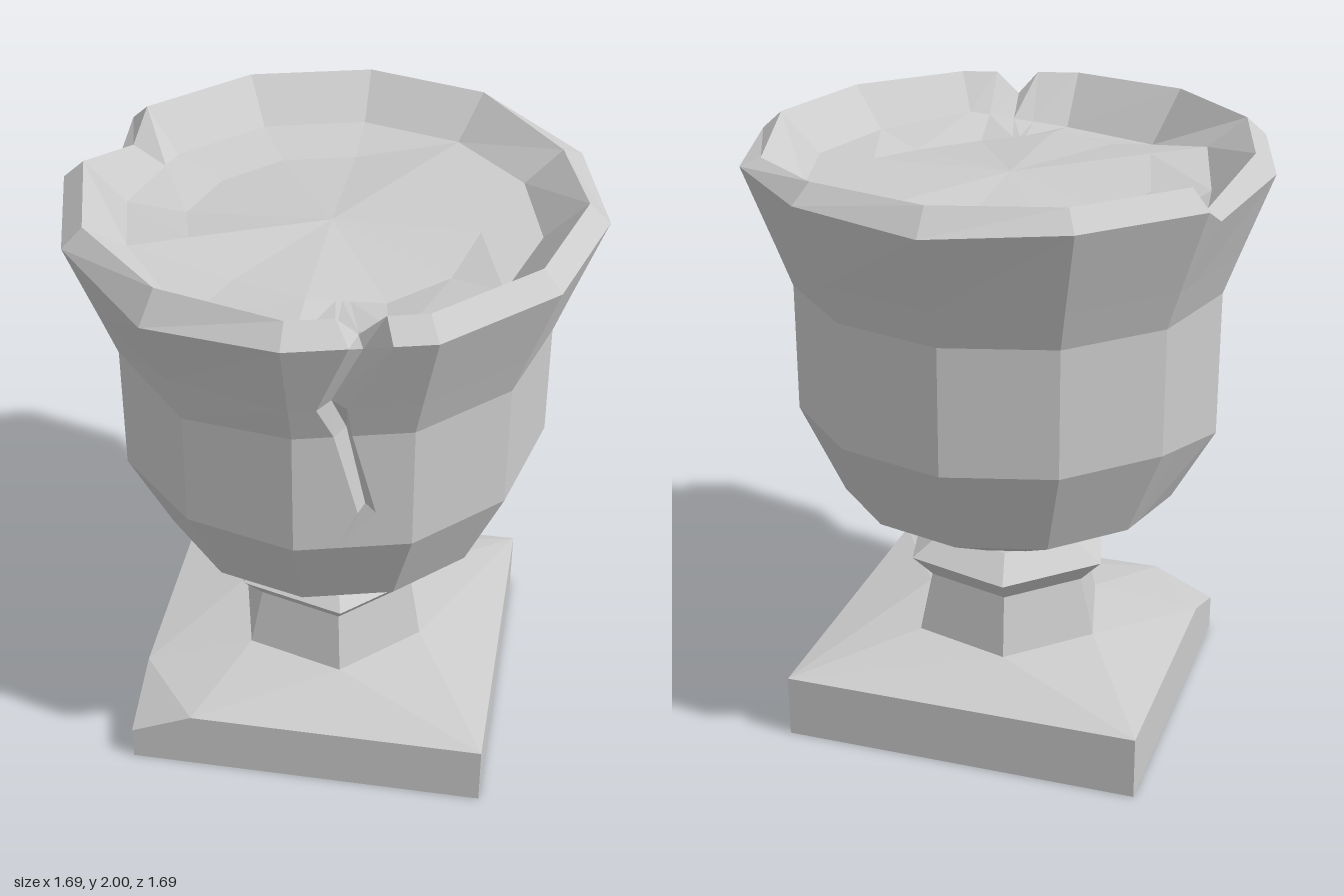
import * as THREE from 'three';

const stone = new THREE.MeshStandardMaterial({ color: 0xcccccc, flatShading: true });

// Mesh from a list of flat polygons, each an array of Vector3 corners.
function polyMesh(name, polys) {
  const pos = [];
  for (const p of polys)
    for (let i = 1; i < p.length - 1; i++)
      for (const v of [p[0], p[i], p[i + 1]]) pos.push(v.x, v.y, v.z);
  const g = new THREE.BufferGeometry();
  g.setAttribute('position', new THREE.Float32BufferAttribute(pos, 3));
  g.computeVertexNormals();
  const m = new THREE.Mesh(g, stone);
  m.name = name;
  return m;
}

const V = (x, y, z) => new THREE.Vector3(x, y, z);
// Point on a circle, angle measured from the front (+z) towards +x.
const polar = (r, y, deg) => {
  const a = THREE.MathUtils.degToRad(deg);
  return V(r * Math.sin(a), y, r * Math.cos(a));
};

// Square plinth with sloped top and one broken corner.
function plinth() {
  const hex = [0, 1, 2, 3, 4, 5].map(k => polar(0.34, 0.29, 14 + 60 * k));
  const h = 0.215, w = 0.6, f = 0.57, r = -0.565;
  const a = V(w, 0, f), b = V(w, 0, r), c = V(-w, 0, r), d = V(-w, 0, f);
  const A = V(w, h, f), B = V(w, h, r), C = V(-w, h, r);
  const D = V(-w, h, 0.31), E = V(-0.39, h, f), K = V(-w, 0.12, f);
  return polyMesh('plinth', [
    [d, c, b, a], [a, b, B, A], [b, c, C, B], [c, d, K, D, C], [d, a, A, E, K],
    [K, E, D],
    [E, A, hex[0]], [A, hex[1], hex[0]], [A, B, hex[1]], [B, hex[2], hex[1]],
    [B, hex[3], hex[2]], [B, C, hex[3]], [C, hex[4], hex[3]], [C, D, hex[4]],
    [D, hex[5], hex[4]], [D, E, hex[5]], [E, hex[0], hex[5]],
  ]);
}

// Six-sided stem with a flared collar.
function stem() {
  const profile = [[0.34, 0.29], [0.29, 0.49], [0.365, 0.57], [0.26, 0.64]];
  const g = new THREE.LatheGeometry(profile.map(p => new THREE.Vector2(...p)), 6,
    THREE.MathUtils.degToRad(14));
  const m = new THREE.Mesh(g, stone);
  m.name = 'stem';
  return m;
}

// Bowl profile [radius, height]: underside, wall, rim, inner lip, soil.
const ROWS = [[0, 0.64], [0.25, 0.64], [0.56, 0.81], [0.7, 1.12], [0.7, 1.25], [0.7, 1.54],
  [0.747, 1.67], [0.847, 1.94], [0.78, 2], [0.65, 1.87], [0.46, 1.87], [0, 1.87]];

// Height offsets of worn corners, keyed by row and column.
const WEAR = {
  '2:10': 0.02, '3:9': -0.06, '3:3': 0.04, '5:11': -0.035, '7:11': -0.04, '7:6': -0.02,
  '8:4': -0.035, '9:10': 0.04, '9:11': -0.04, '9:0': -0.03, '9:1': 0.02,
  '10:10': 0.03, '10:9': -0.02, '10:1': -0.03, '10:2': -0.03,
  '10:6': -0.03, '10:7': -0.03, '10:8': -0.03,
};

// Crack per row: column of left edge, floor and right edge, floor inset, floor drop.
const CRACK = {
  3: [0.37, 0.37, 0.37, 0, 0], 4: [0.54, 0.58, 0.69, 0.05, 0],
  5: [0.34, 0.42, 0.49, 0.05, 0], 6: [0.21, 0.3, 0.44, 0.05, 0],
  7: [0.43, 0.49, 0.71, 0.09, 0.06], 8: [0.35, 0.5, 0.7, 0.02, 0.07],
  9: [0.35, 0.55, 0.8, 0, 0],
};

// Point on a row; fractional columns lie on the flat facet between corners.
function bowlPoint(row, u) {
  const corner = k => polar(ROWS[row][0], ROWS[row][1] + (WEAR[`${row}:${k % 12}`] ?? 0), 30 * k);
  const k = Math.floor(u);
  return corner(k).lerp(corner(k + 1), u - k);
}

function bowlRow(row) {
  const pts = [bowlPoint(row, 0)];
  // Three columns following the crack.
  const [l, m, r, inset, drop] = CRACK[row] ?? [0.37, 0.45, 0.55, 0, 0];
  const floor = bowlPoint(row, m);
  floor.z -= inset;
  floor.y -= drop;
  pts.push(bowlPoint(row, l), floor, bowlPoint(row, r));
  for (let k = 1; k <= 12; k++) {
    pts.push(bowlPoint(row, k));
    // Broken step in the rim.
    if (k === 8) {
      const step = bowlPoint(row, 8.25);
      if (row === 7) { step.y -= 0.06; step.multiply(V(0.98, 1, 0.98)); }
      if (row === 8) step.y -= 0.09;
      pts.push(step);
    }
  }
  return pts;
}

// Twelve-sided bowl, outside, rim and soil in one skin.
function bowl() {
  const rows = ROWS.map((_, i) => bowlRow(i));
  const polys = [];
  for (let i = 0; i < rows.length - 1; i++)
    for (let j = 0; j < rows[i].length - 1; j++)
      polys.push([rows[i][j], rows[i][j + 1], rows[i + 1][j + 1], rows[i + 1][j]]);
  return polyMesh('bowl', polys);
}

export function createModel() {
  const group = new THREE.Group();
  group.name = 'stoneUrn';
  group.add(plinth(), stem(), bowl());
  return group;
}
